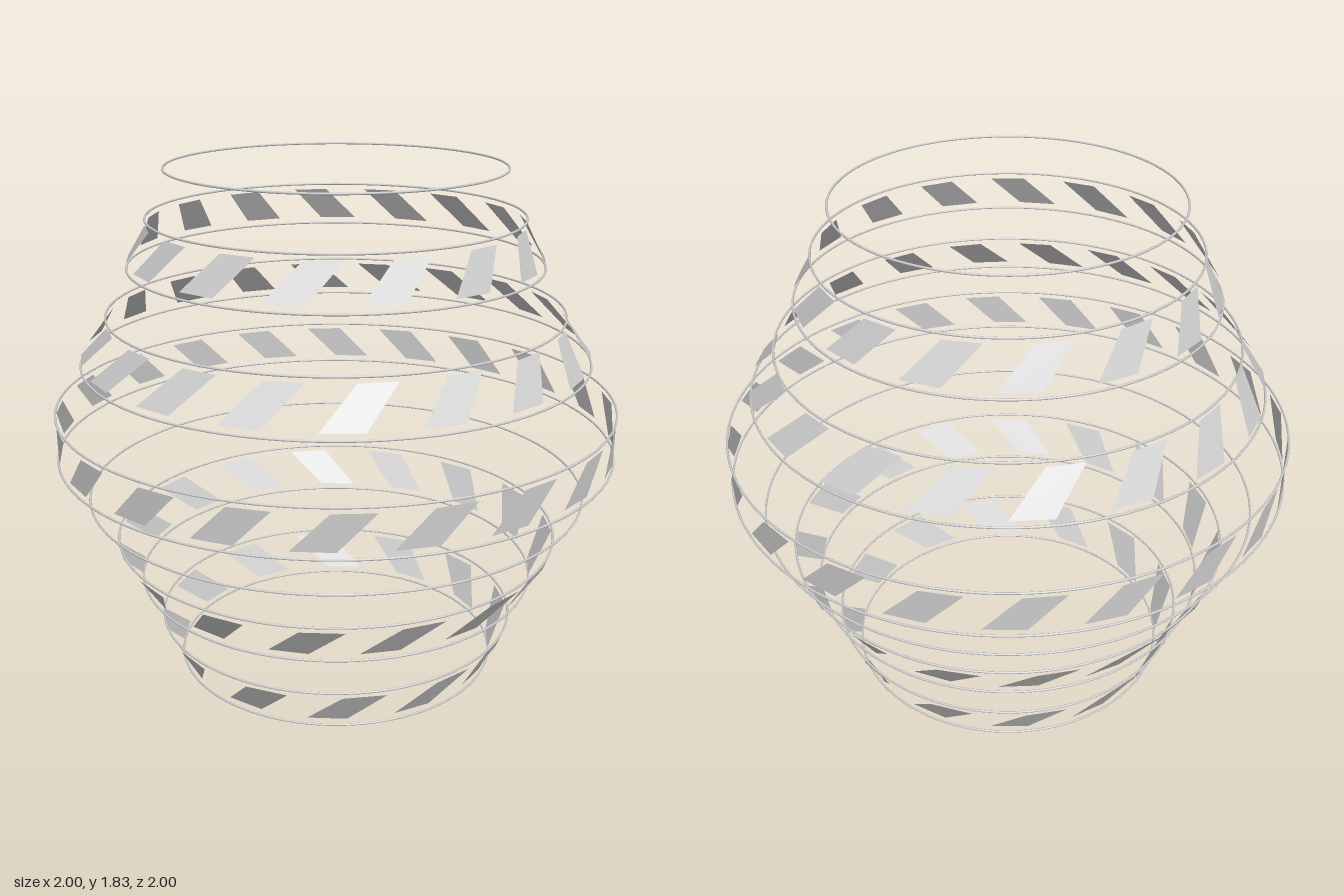
import * as THREE from 'three';

const material = new THREE.MeshStandardMaterial({ color: 0xcccccc, side: THREE.DoubleSide });

// Hoop radii from the foot up to the middle; the upper half mirrors them
const half = [0.586, 0.654, 0.723, 0.804, 0.897, 0.996];
const radii = [...half, ...half.slice().reverse()];
const TUBE = 0.004;
const STEP = 0.166;
const hoopY = (i) => TUBE + i * STEP;

// One slanted flat panel between hoop i and hoop i + 1, leaning right as seen from outside
function slantedPanel(i, middle, pitch) {
  const w = pitch * 0.225, s = pitch * 0.195;
  const corner = (r, t, angle) =>
    new THREE.Vector3(r * Math.cos(angle), hoopY(i) + t * STEP, -r * Math.sin(angle));
  const corners = [
    corner(radii[i], 0.14, middle - s - w),
    corner(radii[i], 0.14, middle - s + w),
    corner(radii[i + 1], 0.88, middle + s + w),
    corner(radii[i + 1], 0.88, middle + s - w),
  ];
  // One shared normal keeps the panel evenly shaded
  const normal = corners[2].clone().sub(corners[0])
    .cross(corners[3].clone().sub(corners[1])).normalize();
  const geo = new THREE.BufferGeometry().setFromPoints(corners);
  geo.setAttribute('normal', new THREE.Float32BufferAttribute(corners.flatMap(() => normal.toArray()), 3));
  geo.setIndex([0, 1, 2, 0, 2, 3]);
  return new THREE.Mesh(geo, material);
}

export function createModel() {
  const model = new THREE.Group();
  model.name = 'hoopLantern';

  // Thin stacked wire hoops
  const hoops = new THREE.Group();
  hoops.name = 'hoops';
  radii.forEach((r, i) => {
    const hoop = new THREE.Mesh(new THREE.TorusGeometry(r, TUBE, 8, 128), material);
    hoop.name = 'hoop' + (i + 1);
    hoop.rotation.x = Math.PI / 2;
    hoop.position.y = hoopY(i);
    hoops.add(hoop);
  });
  model.add(hoops);

  // Bands of slanted panels, spaced about 0.3 along the lower hoop
  for (const i of [0, 2, 5, 7, 9]) {
    const band = new THREE.Group();
    band.name = 'panelBand' + (i + 1);
    const count = Math.floor((2 * Math.PI * radii[i]) / 0.3);
    const pitch = (2 * Math.PI) / count;
    for (let k = 0; k < count; k++) {
      const panel = slantedPanel(i, Math.PI + (k - 0.23) * pitch, pitch);
      panel.name = 'slantedPanel';
      band.add(panel);
    }
    model.add(band);
  }
  return model;
}
